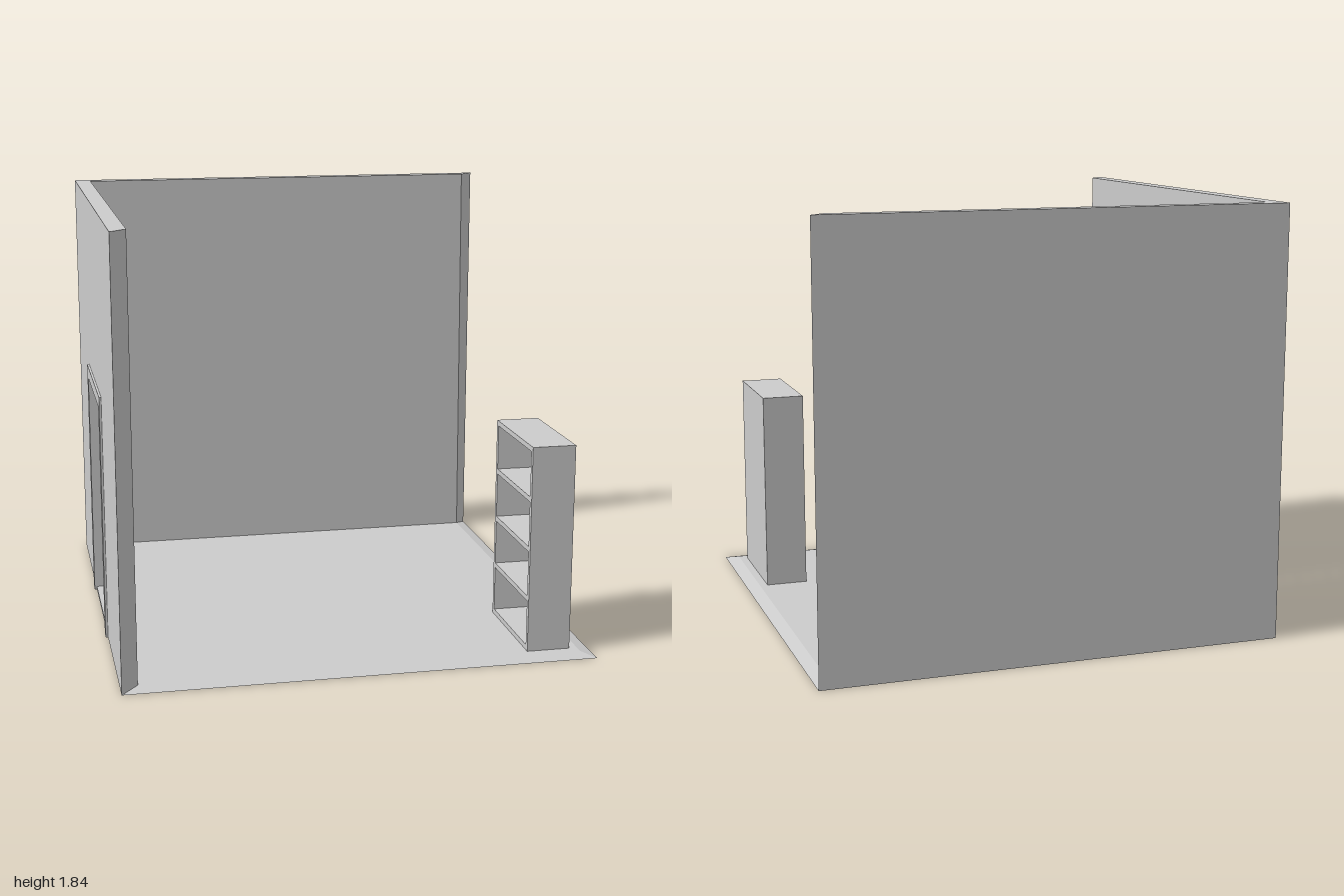
import * as THREE from 'three';

const plaster = new THREE.MeshStandardMaterial({ color: 0xcccccc });
plaster.name = 'light grey';

// Flat quads, each turned to face a given direction
function quads(name, list) {
  const pos = [];
  for (const { p, n } of list) {
    let v = p.map((c) => new THREE.Vector3(...c));
    const normal = v[1].clone().sub(v[0]).cross(v[2].clone().sub(v[0]));
    if (normal.dot(new THREE.Vector3(...n)) < 0) v = v.reverse();
    for (const i of [0, 1, 2, 0, 2, 3]) pos.push(v[i].x, v[i].y, v[i].z);
  }
  const g = new THREE.BufferGeometry();
  g.setAttribute('position', new THREE.Float32BufferAttribute(pos, 3));
  g.computeVertexNormals();
  const mesh = new THREE.Mesh(g, plaster);
  mesh.name = name;
  return mesh;
}

// Box given by its lower and upper limits
function box(name, [x0, x1], [y0, y1], [z0, z1]) {
  const mesh = new THREE.Mesh(new THREE.BoxGeometry(x1 - x0, y1 - y0, z1 - z0), plaster);
  mesh.position.set((x0 + x1) / 2, (y0 + y1) / 2, (z0 + z1) / 2);
  mesh.name = name;
  return mesh;
}

export function createModel() {
  const room = new THREE.Group();
  room.name = 'room';

  // Outer limits, and inner limits at floor and wall top
  const L = -0.99, R = 0.995, B = -0.993, F = 0.993, H = 1.84;
  const l = -0.92, b = -0.93, f = 0.015;
  const rB = 0.94, rT = 0.93, fB = 0.937, fT = 0.925;
  const up = [0, 1, 0], down = [0, -1, 0], px = [1, 0, 0], nx = [-1, 0, 0];
  const pz = [0, 0, 1], nz = [0, 0, -1];

  // Floor with bevelled open edges
  room.add(quads('floor', [
    { p: [[l, f, b], [rB, f, b], [rB, f, fB], [l, f, fB]], n: up },
    { p: [[L, 0, B], [R, 0, B], [R, 0, F], [L, 0, F]], n: down },
    { p: [[l, f, fB], [rB, f, fB], [R, 0, F], [L, 0, F]], n: pz },
    { p: [[rB, f, b], [rB, f, fB], [R, 0, F], [R, 0, B]], n: px },
  ]));

  // Back wall with a mitred open end
  room.add(quads('backWall', [
    { p: [[l, f, b], [rB, f, b], [rT, H, b], [l, H, b]], n: pz },
    { p: [[L, 0, B], [R, 0, B], [R, H, B], [L, H, B]], n: nz },
    { p: [[l, H, b], [rT, H, b], [R, H, B], [L, H, B]], n: up },
    { p: [[rB, f, b], [rT, H, b], [R, H, B], [R, 0, B]], n: px },
  ]));

  // Side wall, leaving a doorway behind the frame
  const doorZ = 0.32, doorTop = 1.04;
  const sideFace = (x, y0, back, frontLow, frontHigh, n) => {
    const frontMid = frontLow + (frontHigh - frontLow) * (doorTop - y0) / (H - y0);
    return [
      { p: [[x, y0, back], [x, y0, -doorZ], [x, doorTop, -doorZ], [x, doorTop, back]], n },
      { p: [[x, y0, doorZ], [x, y0, frontLow], [x, doorTop, frontMid], [x, doorTop, doorZ]], n },
      { p: [[x, doorTop, back], [x, doorTop, frontMid], [x, H, frontHigh], [x, H, back]], n },
    ];
  };
  room.add(quads('sideWall', [
    ...sideFace(l, f, b, fB, fT, px),
    ...sideFace(L, 0, B, F, F, nx),
    { p: [[l, H, b], [l, H, fT], [L, H, F], [L, H, B]], n: up },
    { p: [[l, f, fB], [l, H, fT], [L, H, F], [L, 0, F]], n: pz },
  ]));

  // Door frame, sill, slab and knob
  const door = new THREE.Group();
  door.name = 'doorway';
  const depth = [-1.0, -0.913];
  for (const [z0, z1] of [[-0.345, -0.29], [0.293, 0.345]])
    door.add(box('doorPost', depth, [0, 1.013], [z0, z1]));
  door.add(box('doorLintel', depth, [1.013, 1.065], [-0.345, 0.345]));
  door.add(box('doorSill', [L, l], [0, f], [-0.29, 0.293]));
  door.add(box('doorSlab', [-0.957, -0.94], [f, 1.013], [-0.279, 0.293]));
  door.add(box('doorKnob', [-0.94, -0.898], [0.518, 0.575], [0.19, 0.247]));
  room.add(door);

  // Bookcase standing in the open corner, its shelves facing the door
  const shelfUnit = new THREE.Group();
  shelfUnit.name = 'bookcase';
  const x0 = 0.72, x1 = 0.905, z0 = 0.41, z1 = 0.898, top = 0.9, t = 0.022;
  shelfUnit.add(box('bookcaseBack', [x1 - t, x1], [f, top], [z0, z1]));
  for (const z of [z0, z1 - t])
    shelfUnit.add(box('bookcaseSide', [x0, x1 - t], [f, top], [z, z + t]));
  const levels = 4;
  for (let i = 0; i <= levels; i++) {
    const y = f + (top - t - f) * i / levels;
    shelfUnit.add(box('shelf', [x0, x1 - t], [y, y + t], [z0 + t, z1 - t]));
  }
  room.add(shelfUnit);

  return room;
}
